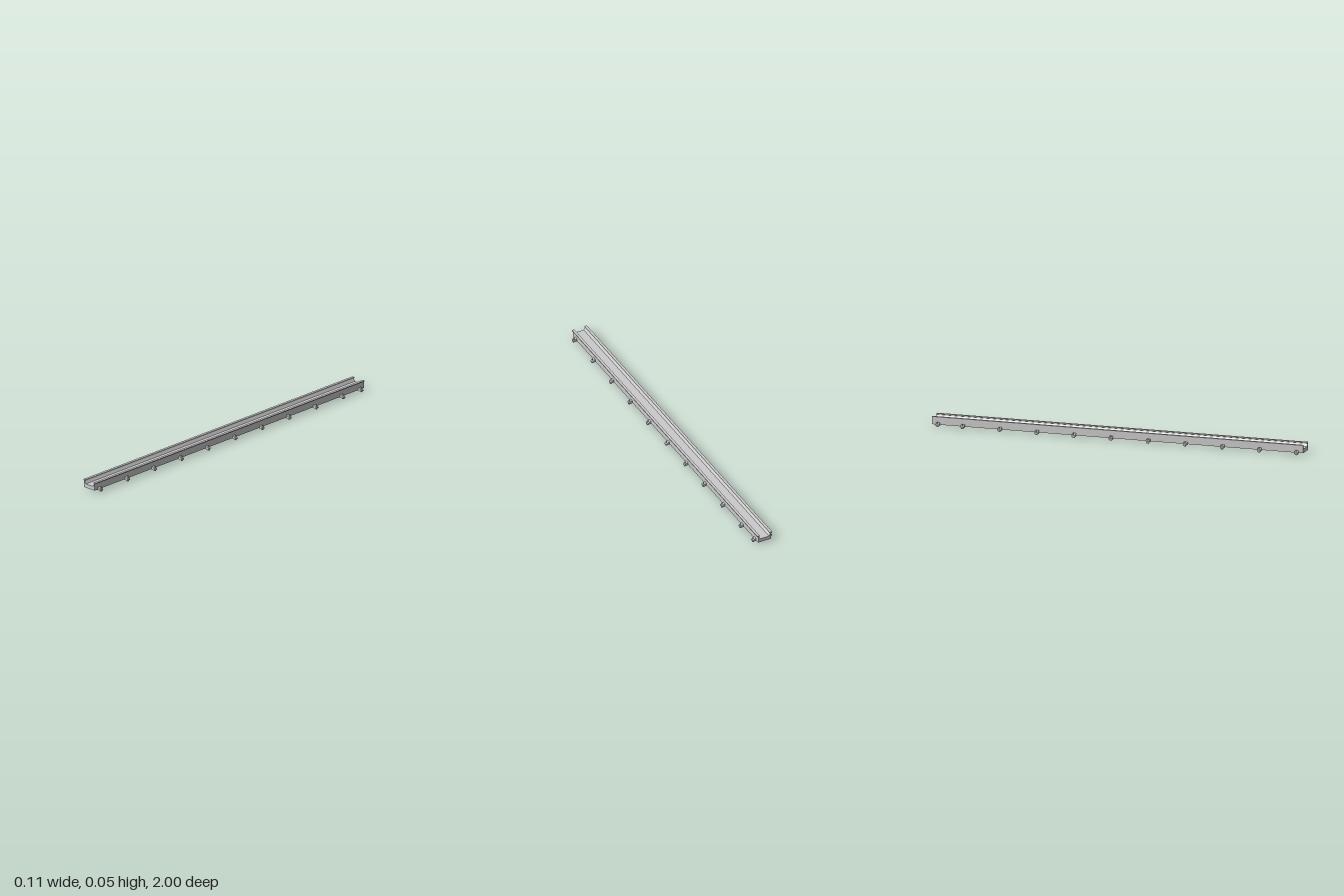
import * as THREE from 'three';

const material = new THREE.MeshStandardMaterial({ color: 0xcccccc, flatShading: true });

// Extrude a cross-section along z, centred on z = 0
function extrude(points, length) {
  const shape = new THREE.Shape(points.map(([x, y]) => new THREE.Vector2(x, y)));
  return new THREE.ExtrudeGeometry(shape, { depth: length, bevelEnabled: false })
    .translate(0, 0, -length / 2);
}

function part(name, geometry, x = 0, y = 0, z = 0) {
  const mesh = new THREE.Mesh(geometry, material);
  mesh.name = name;
  mesh.position.set(x, y, z);
  return mesh;
}

export function createModel() {
  const model = new THREE.Group();
  model.name = 'channelRail';

  // Channel: solid floor, sloped inner walls and a flange on each lip
  const half = [
    [0.037, 0.009], [0.037, 0.045], [0.043, 0.046], [0.043, 0.051],
    [0.029, 0.051], [0.029, 0.047], [0.033, 0.045], [0.033, 0.042], [0.025, 0.029],
  ];
  const mirrored = half.map(([x, y]) => [-x, y]).reverse();
  model.add(part('channel', extrude([...half, ...mirrored], 2)));

  // Clamp parts, shared by every clamp
  const clampGeometry = extrude([
    [0.024, 0.006], [0.044, 0.005], [0.056, 0.005], [0.056, 0.012],
    [0.045, 0.02], [0.037, 0.021], [0.037, 0.009], [0.024, 0.009],
  ], 0.018);
  const studGeometry = new THREE.CylinderGeometry(0.0028, 0.0028, 0.024, 10);
  const headGeometry = new THREE.CylinderGeometry(0.0062, 0.0062, 0.0035, 6);
  const washerGeometry = new THREE.CylinderGeometry(0.005, 0.005, 0.002, 12);

  // Evenly spaced clamps, plus one closing the back end
  const stations = Array.from({ length: 10 }, (_, i) => 0.967 - 0.2 * i);
  stations.push(-0.967);
  for (const z of stations) {
    for (const side of [0, Math.PI]) {
      const clamp = new THREE.Group();
      clamp.name = side ? 'rightClamp' : 'leftClamp';
      clamp.add(
        part('clampBody', clampGeometry),
        part('boltStud', studGeometry, 0.05, 0.013),
        part('boltHead', headGeometry, 0.05, 0.00175),
        part('washer', washerGeometry, 0.05, 0.0045),
      );
      clamp.rotation.y = side;
      clamp.position.z = z;
      model.add(clamp);
    }
  }
  return model;
}
